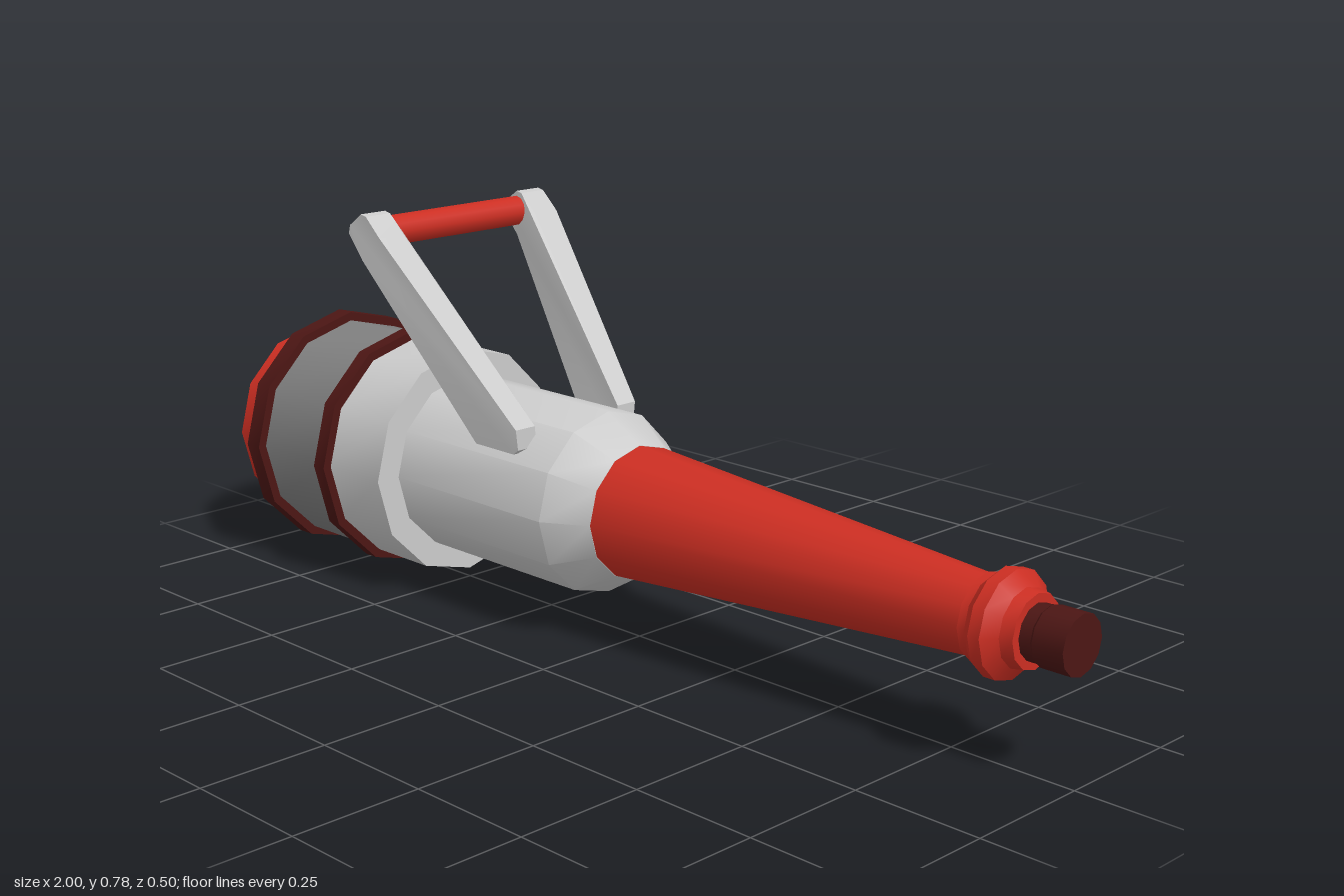
import * as THREE from 'three';
import { toCreasedNormals } from 'three/addons/utils/BufferGeometryUtils.js';

const SIDES = 12;
const AXIS_Y = 0.25;

const material = (color) => new THREE.MeshStandardMaterial({ color });

export function createModel() {
  const model = new THREE.Group();
  const grey = material(0xcccccc);
  const darkGrey = material(0x808080);
  const red = material(0xcc2e22);
  const darkRed = material(0x4c1614);

  const add = (name, geometry, mat, parent = model) => {
    const mesh = new THREE.Mesh(geometry, mat);
    mesh.name = name;
    parent.add(mesh);
    return mesh;
  };

  // Closed solid turned about the long axis from [x, radius] pairs
  const turned = (name, profile, mat) => {
    const first = profile[0][0];
    const last = profile[profile.length - 1][0];
    const points = [[first, 0], ...profile, [last, 0]].map(([x, r]) => new THREE.Vector2(r, x));
    const geometry = toCreasedNormals(new THREE.LatheGeometry(points, SIDES), 0.6);
    geometry.rotateZ(-Math.PI / 2);
    add(name, geometry, mat).position.y = AXIS_Y;
  };

  // Rear housing
  turned('rearCap', [[-1, 0.205], [-0.935, 0.205], [-0.935, 0.22], [-0.905, 0.22]], red);
  turned('rearRing', [[-0.915, 0.25], [-0.875, 0.25]], darkRed);
  turned('rearSleeve', [[-0.885, 0.232], [-0.668, 0.232]], darkGrey);
  turned('frontRing', [[-0.685, 0.25], [-0.653, 0.25]], darkRed);
  turned('collar', [[-0.668, 0.232], [-0.5, 0.232]], grey);

  // Main body and tapered barrel
  turned('body', [[-0.51, 0.18], [-0.085, 0.18], [0, 0.13]], grey);
  turned('barrel', [[-0.01, 0.13], [0.82, 0.07]], red);
  turned('muzzleFlare', [[0.81, 0.078], [0.825, 0.078], [0.845, 0.096], [0.868, 0.096], [0.888, 0.07], [0.912, 0.066]], red);
  turned('tip', [[0.905, 0.05], [0.935, 0.05], [0.94, 0.054], [1, 0.054]], darkRed);

  // Carrying handle: tilted arms that splay outwards up to a kink
  const handle = new THREE.Group();
  handle.name = 'handle';
  model.add(handle);

  const outline = new THREE.Shape([
    [-0.28, 0.36], [-0.185, 0.355], [-0.172, 0.365], [-0.172, 0.405], [-0.475, 0.74],
    [-0.515, 0.777], [-0.53, 0.78], [-0.565, 0.755], [-0.57, 0.738], [-0.53, 0.69],
  ].map(([x, y]) => new THREE.Vector2(x, y)));

  const armGeometry = (side) => {
    const geometry = new THREE.ExtrudeGeometry(outline, { depth: 1, bevelEnabled: false });
    const p = geometry.attributes.position;
    for (let i = 0; i < p.count; i++) {
      // Distance below the kink, 0 at the grip and 1 at the foot
      const t = THREE.MathUtils.clamp(((p.getX(i) + 0.53) * 0.67 - (p.getY(i) - 0.69) * 0.74) / 0.48, 0, 1);
      const inner = THREE.MathUtils.lerp(0.17, 0.105, t);
      const outer = THREE.MathUtils.lerp(0.229, 0.152, t);
      const depth = side > 0 ? p.getZ(i) : 1 - p.getZ(i);
      p.setZ(i, side * THREE.MathUtils.lerp(inner, outer, depth));
    }
    return toCreasedNormals(geometry, 0.5);
  };
  add('rightArm', armGeometry(-1), grey, handle);
  add('leftArm', armGeometry(1), grey, handle);

  const grip = add('grip', new THREE.CylinderGeometry(0.03, 0.03, 0.36, SIDES), red, handle);
  grip.rotation.x = Math.PI / 2;
  grip.position.set(-0.53, 0.74, 0);

  return model;
}
